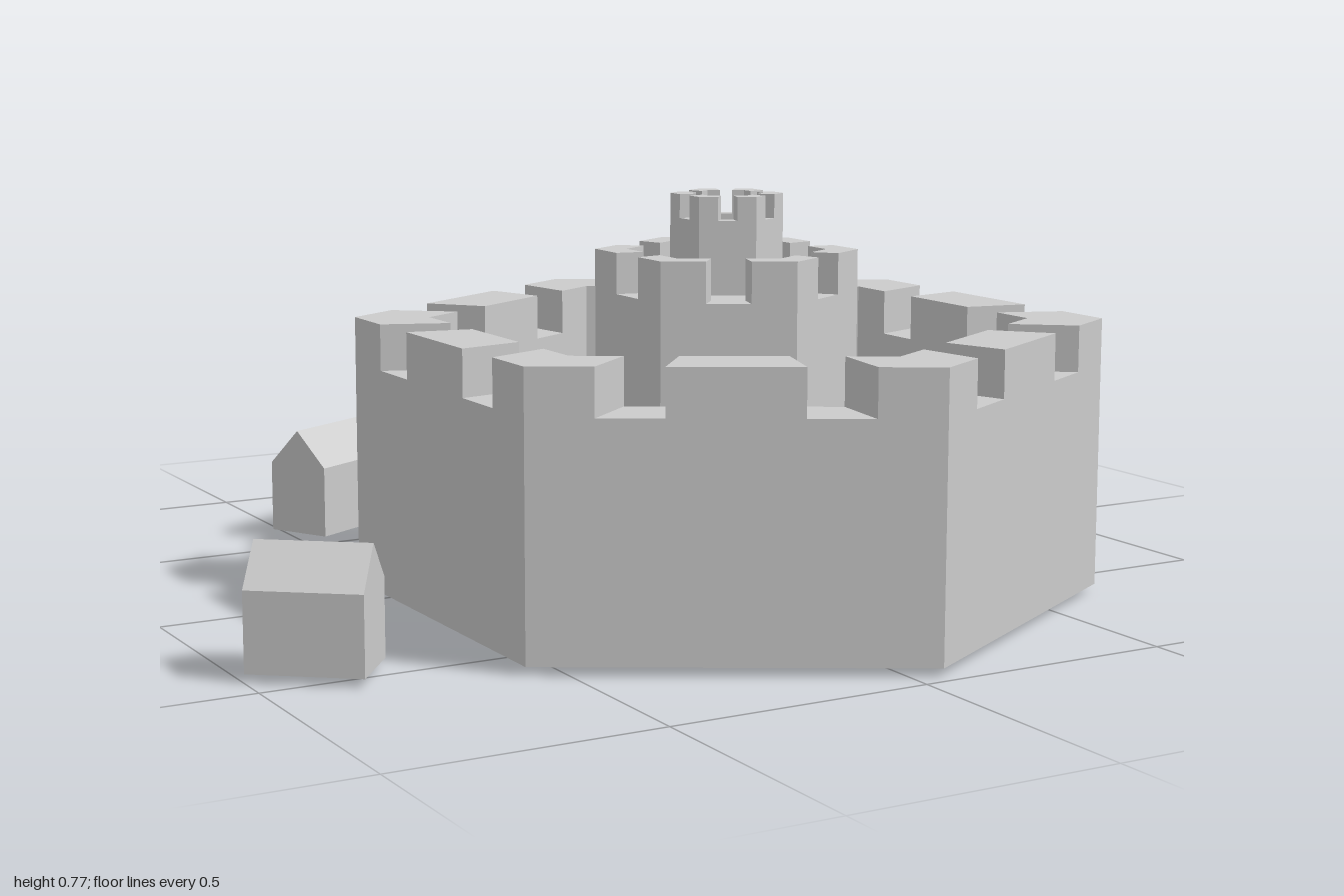
import * as THREE from 'three';

const stone = new THREE.MeshStandardMaterial({ color: 0xcccccc, flatShading: true });
const dark = new THREE.MeshStandardMaterial({ color: 0x050505, flatShading: true });

// Point on a hexagon of radius r; t runs 0..6 round it, whole numbers are corners, 0 is at +z.
function hexPoint(r, t) {
  const k = Math.floor(t + 1e-6), f = t - k;
  const a = k * Math.PI / 3, b = (k + 1) * Math.PI / 3;
  return new THREE.Vector2(
    r * THREE.MathUtils.lerp(Math.sin(a), Math.sin(b), f),
    -r * THREE.MathUtils.lerp(Math.cos(a), Math.cos(b), f));
}

function add(parent, name, geometry, material = stone) {
  const mesh = new THREE.Mesh(geometry, material);
  mesh.name = name;
  parent.add(mesh);
  return mesh;
}

// Upright block following the hexagonal ring from t0 to t1, turning at each corner.
function ringPiece(rIn, rOut, t0, t1, y0, y1) {
  const ts = [t0];
  for (let k = Math.floor(t0 + 1e-6) + 1; k < t1 - 1e-6; k++) ts.push(k);
  ts.push(t1);
  const outline = [...ts.map(t => hexPoint(rOut, t)), ...ts.reverse().map(t => hexPoint(rIn, t))];
  return new THREE.ExtrudeGeometry(new THREE.Shape(outline), { depth: y1 - y0, bevelEnabled: false })
    .rotateX(-Math.PI / 2).translate(0, y0, 0);
}

function hexPrism(r, y0, y1) {
  return new THREE.CylinderGeometry(r, r, y1 - y0, 6).translate(0, (y0 + y1) / 2, 0);
}

// Dark doorway panel in the middle third of one side.
function doorway(parent, r, side, y0, h) {
  const apothem = r * Math.cos(Math.PI / 6);
  const door = add(parent, 'doorway', new THREE.BoxGeometry(r / 3, h, 0.006)
    .translate(0, y0 + h / 2, apothem), dark);
  door.rotation.y = (side + 0.5) * Math.PI / 3;
}

// Corner merlons, leaving a gap in the middle third of each side.
function cornerMerlons(parent, rIn, rOut, y0, y1) {
  for (let k = 1; k <= 6; k++) {
    add(parent, 'cornerMerlon', ringPiece(rIn, rOut, k - 1 / 3, k + 1 / 3, y0, y1));
  }
}

function house(x, z, turn) {
  const l = 0.21, w = 0.07, base = 0.015, eave = 0.16, ridge = 0.233;
  const gable = new THREE.Shape([[-w, base], [w, base], [w, eave], [0, ridge], [-w, eave]]
    .map(p => new THREE.Vector2(...p)));
  const geometry = new THREE.ExtrudeGeometry(gable, { depth: l, bevelEnabled: false })
    .translate(0, 0, -l / 2).rotateY(Math.PI / 2);
  const mesh = new THREE.Mesh(geometry, stone);
  mesh.name = 'house';
  mesh.position.set(x, 0, z);
  mesh.rotation.y = turn;
  return mesh;
}

export function createModel() {
  const model = new THREE.Group();
  model.name = 'hexagonalCastle';

  // Outer wall with a gate in its back side
  const wall = new THREE.Group();
  wall.name = 'outerWall';
  wall.position.set(0.052, 0, 0.265);
  const rIn = 0.57, rOut = 0.712, base = 0.015, walk = 0.445, top = 0.533;
  add(wall, 'curtainWall', ringPiece(rIn, rOut, 2 + 2 / 3, 8 + 1 / 3, base, walk));
  add(wall, 'gateLintel', ringPiece(rIn, rOut, 2 + 1 / 3, 2 + 2 / 3, 0.23, walk));
  for (let k = 1; k <= 6; k++) {
    add(wall, 'cornerMerlon', ringPiece(rIn, rOut, k - 1 / 6, k + 1 / 6, walk, top));
    add(wall, 'sideMerlon', ringPiece(rIn, rOut, k + 1 / 3, k + 2 / 3, walk, top));
  }
  model.add(wall);

  // Central keep with a small turret on its roof
  const keep = new THREE.Group();
  keep.name = 'keep';
  keep.position.set(0.057, 0, 0.25);
  add(keep, 'keepBody', hexPrism(0.25, 0, 0.585));
  cornerMerlons(keep, 0.19, 0.25, 0.585, 0.663);
  doorway(keep, 0.25, 2, 0.002, 0.17);
  add(keep, 'turretBody', hexPrism(0.107, 0.585, 0.705));
  add(keep, 'turretParapet', ringPiece(0.07, 0.107, 0, 6, 0.705, 0.725));
  cornerMerlons(keep, 0.07, 0.107, 0.725, 0.77);
  doorway(keep, 0.107, 3, 0.585, 0.075);
  model.add(keep);

  // Houses outside the wall
  for (const [x, z, turn] of [
    [0.927, -0.002, Math.PI / 2], [0.518, -0.862, 0.64], [-0.41, -0.609, 0.51], [-0.873, 0.438, -0.66],
  ]) model.add(house(x, z, turn));

  return model;
}
